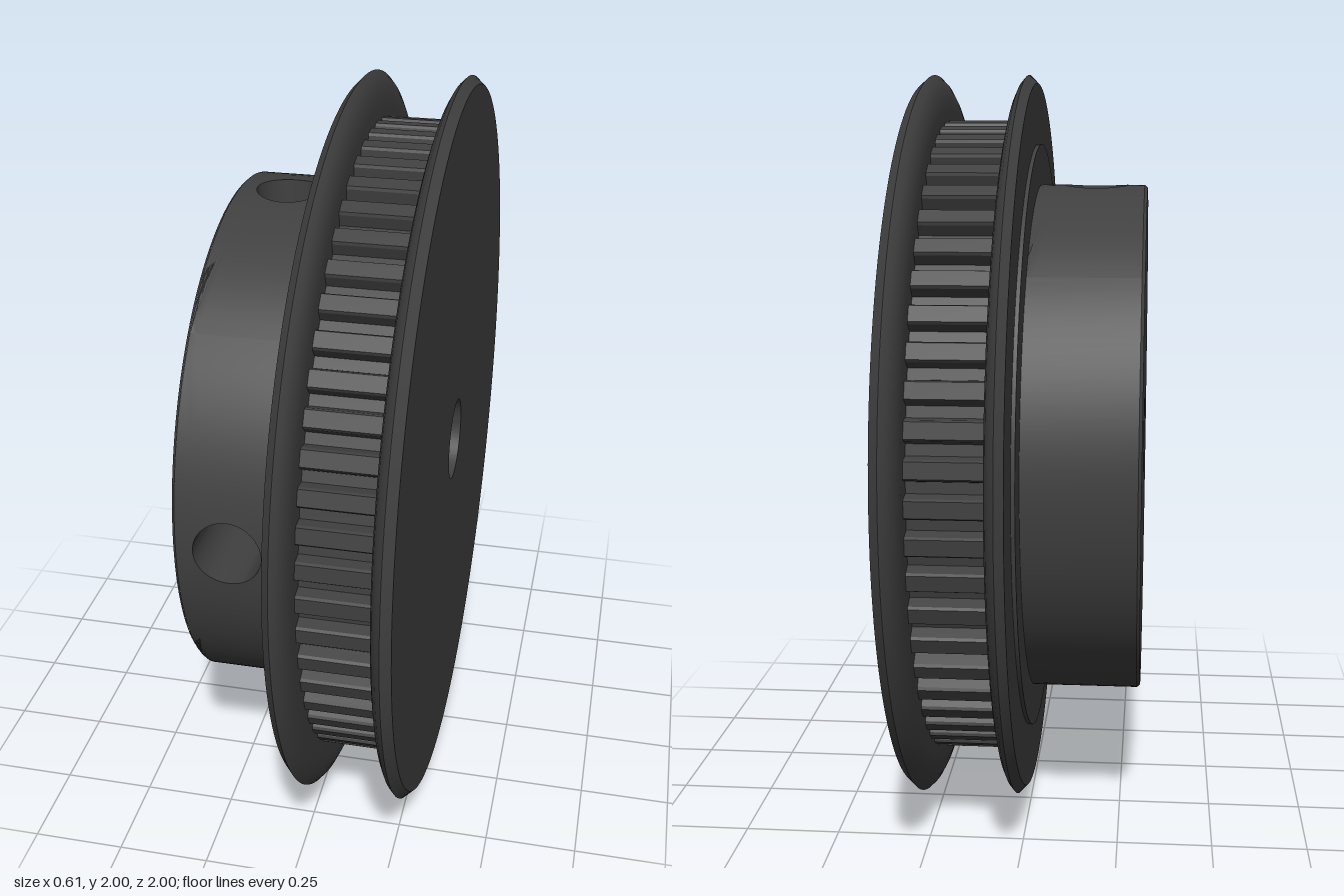
import * as THREE from 'three';
import { toCreasedNormals } from 'three/addons/utils/BufferGeometryUtils.js';
import { ParametricGeometry } from 'three/addons/geometries/ParametricGeometry.js';

const HUB_R = 0.705, BORE_R = 0.113, SCREW_R = 0.088, SCREW_X = -0.163;
const BACK = -0.303, FRONT = 0.303, TEETH = 60;
const SCREW_ANGLES = [0, Math.PI / 2]; // one screw hole faces up, one faces front
const Q = Math.PI / 4;

// Point on a cylinder around the x axis; angle 0 is up, a quarter turn is front
const onCylinder = (r, x, a, target) => target.set(x, r * Math.cos(a), r * Math.sin(a));

// Rim of a screw hole on a cylinder of radius r, as [x, angle]
function rim(r, t) {
  const a = Math.asin(THREE.MathUtils.clamp(SCREW_R * Math.sin(t) / r, -0.706, 0.706));
  return [SCREW_X + SCREW_R * Math.cos(t), a];
}

export function createModel() {
  const model = new THREE.Group();
  const pulley = new THREE.Group();
  pulley.name = 'pulley';
  pulley.position.y = 1;
  model.add(pulley);

  const solid = new THREE.MeshStandardMaterial({ color: 0x404040 });
  const sheet = new THREE.MeshStandardMaterial({ color: 0x404040, side: THREE.DoubleSide });

  function add(name, geometry, material, crease = 0.45) {
    const mesh = new THREE.Mesh(toCreasedNormals(geometry, crease), material);
    mesh.name = name;
    pulley.add(mesh);
  }

  // Turned part from [x, radius] pairs, revolved around the x axis
  function turned(name, profile) {
    const points = profile.map(([x, r]) => new THREE.Vector2(r, x));
    add(name, new THREE.LatheGeometry(points, 144).rotateZ(-Math.PI / 2), solid);
  }

  // Cylinder wall: a quarter around each screw hole, and one plain half
  function drilledWall(name, r, x0, x1) {
    for (const phi of SCREW_ANGLES) {
      add(name, new ParametricGeometry((u, v, target) => {
        const t = u * Math.PI * 2, c = Math.cos(t), s = Math.sin(t);
        const m = Math.max(Math.abs(c), Math.abs(s));
        const [hx, ha] = rim(r, t);
        const ex = SCREW_X + (c / m) * (c < 0 ? SCREW_X - x0 : x1 - SCREW_X);
        const ea = (s / m) * Q;
        onCylinder(r, hx + (ex - hx) * v, ha + (ea - ha) * v + phi, target);
      }, 96, 12), sheet);
    }
    add(name, new ParametricGeometry((u, v, target) =>
      onCylinder(r, x0 + (x1 - x0) * v, 3 * Q + u * Math.PI, target), 72, 1), sheet);
  }

  // Hub
  turned('hubEnd', [[BACK, BORE_R], [BACK, HUB_R - 0.008], [BACK + 0.008, HUB_R]]);
  drilledWall('hubWall', HUB_R, BACK + 0.008, -0.01);
  drilledWall('bore', BORE_R, BACK, FRONT);

  // Screw holes from the hub wall to the bore
  for (const phi of SCREW_ANGLES) {
    const inner = new THREE.Vector3(), outer = new THREE.Vector3();
    add('screwHole', new ParametricGeometry((u, v, target) => {
      const t = u * Math.PI * 2;
      const [x, a] = rim(BORE_R, t), [, b] = rim(HUB_R, t);
      onCylinder(BORE_R, x, a + phi, inner);
      onCylinder(HUB_R, x, b + phi, outer);
      target.lerpVectors(inner, outer, v);
    }, 96, 1), sheet);
  }

  // Flanges: flat outside, narrow bevel, rounded flare towards the belt
  const flare = [[0, 0.978], [0.021, 1], [0.034, 0.985], [0.044, 0.963], [0.05, 0.938], [0.053, 0.91], [0.053, 0.82]];
  turned('backFlange', [[-0.01, HUB_R - 0.005], [-0.01, 0.815], [0, 0.815], ...flare]);
  turned('frontFlange', [...flare.map(([x, r]) => [FRONT - x * 1.15, r]).reverse(), [FRONT, BORE_R]]);

  // Toothed rim for the belt
  const outline = [];
  const pitch = Math.PI * 2 / TEETH;
  for (let i = 0; i < TEETH; i++) {
    for (const [f, r] of [[-0.27, 0.872], [-0.22, 0.879], [0.22, 0.879], [0.27, 0.872], [0.34, 0.842], [0.66, 0.842]]) {
      const a = (i + f) * pitch;
      outline.push(new THREE.Vector2(r * Math.cos(a), r * Math.sin(a)));
    }
  }
  const ring = new THREE.Shape(outline);
  ring.holes.push(new THREE.Path().absarc(0, 0, 0.6, 0, Math.PI * 2, true));
  const teeth = new THREE.ExtrudeGeometry(ring, { depth: 0.21, bevelEnabled: false, curveSegments: 32 });
  add('toothedRim', teeth.rotateY(Math.PI / 2).translate(0.042, 0, 0), solid, 0.3);

  return model;
}
